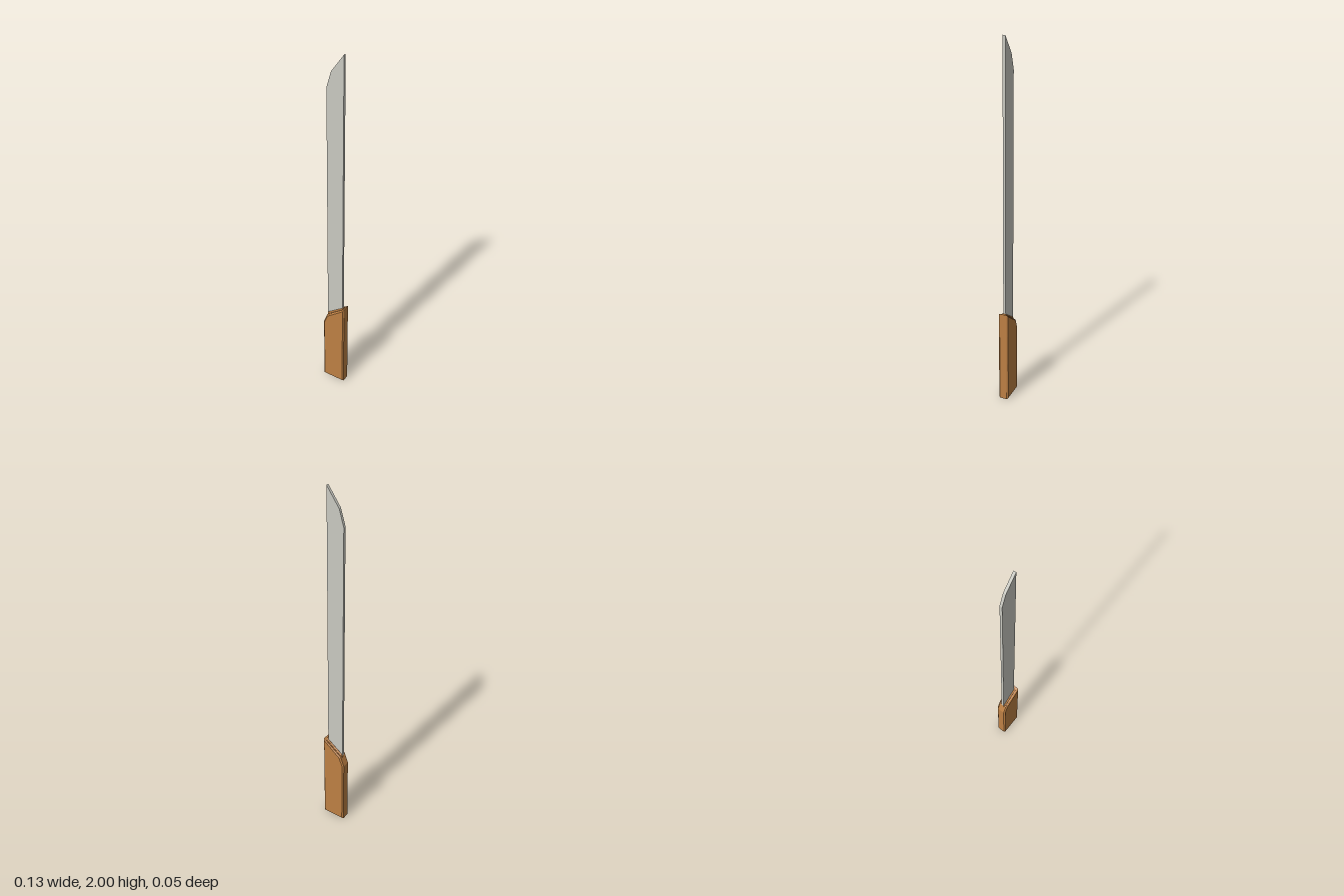
import * as THREE from 'three';

// Side outline extruded along z, centred, with an optional inward chamfer
function slab(name, points, thickness, chamfer, material) {
  const shape = new THREE.Shape(points.map(([x, y]) => new THREE.Vector2(x, y)));
  const depth = thickness - 2 * chamfer;
  const geometry = new THREE.ExtrudeGeometry(shape, {
    depth,
    bevelEnabled: chamfer > 0,
    bevelThickness: chamfer,
    bevelSize: chamfer,
    bevelOffset: -chamfer,
    bevelSegments: 1,
  });
  geometry.translate(0, 0, -depth / 2);
  const mesh = new THREE.Mesh(geometry, material);
  mesh.name = name;
  return mesh;
}

export function createModel() {
  const steel = new THREE.MeshStandardMaterial({ color: 0xc9c9c1, flatShading: true });
  const wood = new THREE.MeshStandardMaterial({ color: 0xbd8044, flatShading: true });
  const model = new THREE.Group();
  model.name = 'shortSword';

  // Straight blade with an angled tip, its root hidden in the handle
  model.add(slab('blade', [
    [-0.047, 0.3], [0.045, 0.3], [0.045, 2], [-0.022, 1.905], [-0.047, 1.82],
  ], 0.014, 0, steel));

  // Chamfered wooden handle with a slanted top
  model.add(slab('handle', [
    [-0.065, 0], [0.063, 0], [0.063, 0.54], [-0.044, 0.457], [-0.065, 0.4],
  ], 0.054, 0.007, wood));

  // Slim raised collar where the blade enters the handle
  model.add(slab('collar', [
    [-0.048, 0.3], [0.053, 0.3], [0.053, 0.541], [-0.043, 0.469], [-0.048, 0.455],
  ], 0.03, 0.007, wood));

  return model;
}
